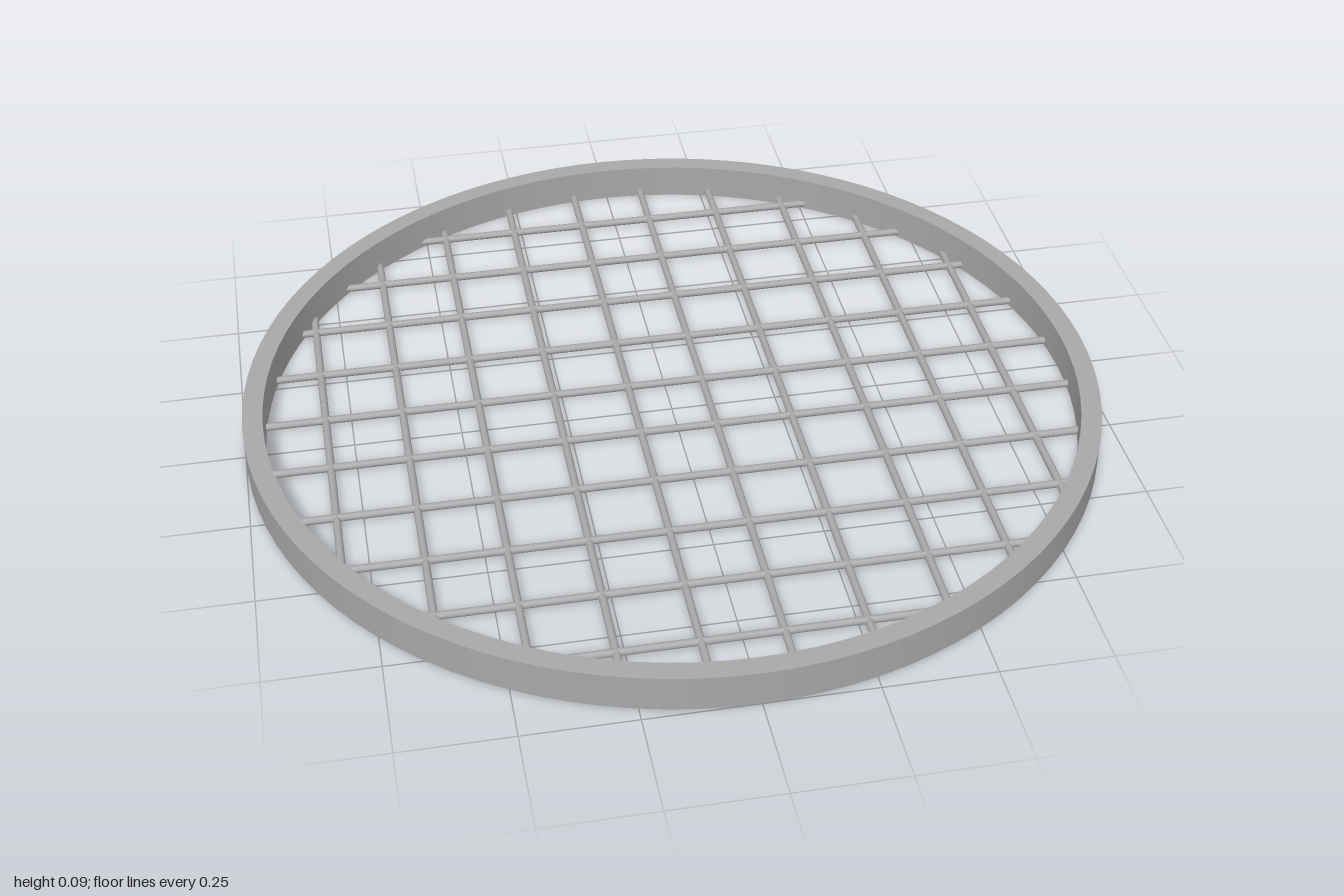
import * as THREE from 'three';

export function createModel() {
  const group = new THREE.Group();
  const steel = new THREE.MeshStandardMaterial({ color: 0xa8a8a8 });
  steel.name = 'grey steel';

  // Outer rim: a flat-sided hoop, each face revolved separately to keep its edges sharp
  const outer = 1, inner = 0.953, height = 0.085;
  const corners = [[inner, 0], [outer, 0], [outer, height], [inner, height]]
    .map(([r, y]) => new THREE.Vector2(r, y));
  const names = ['rimBottom', 'rimOuterWall', 'rimTop', 'rimInnerWall'];
  const rim = new THREE.Group();
  rim.name = 'rim';
  corners.forEach((corner, i) => {
    const face = new THREE.Mesh(new THREE.LatheGeometry([corner, corners[(i + 1) % 4]], 96), steel);
    face.name = names[i];
    rim.add(face);
  });
  group.add(rim);

  // Grid of round wires near the bottom, each trimmed to end inside the rim
  const wireRadius = 0.009, spacing = 0.18, count = 10, wireY = 0.012;
  const mesh = new THREE.Group();
  mesh.name = 'wireGrid';
  for (let i = 0; i < count; i++) {
    const offset = (i - (count - 1) / 2) * spacing;
    const length = 2 * Math.sqrt(0.972 ** 2 - offset ** 2);
    const geometry = new THREE.CylinderGeometry(wireRadius, wireRadius, length, 12);

    const crossWire = new THREE.Mesh(geometry, steel);
    crossWire.name = 'crossWire';
    crossWire.rotation.z = Math.PI / 2;
    crossWire.position.set(0, wireY, offset);

    const lengthWire = new THREE.Mesh(geometry, steel);
    lengthWire.name = 'lengthWire';
    lengthWire.rotation.x = Math.PI / 2;
    lengthWire.position.set(offset, wireY, 0);
    mesh.add(crossWire, lengthWire);
  }
  group.add(mesh);
  return group;
}
